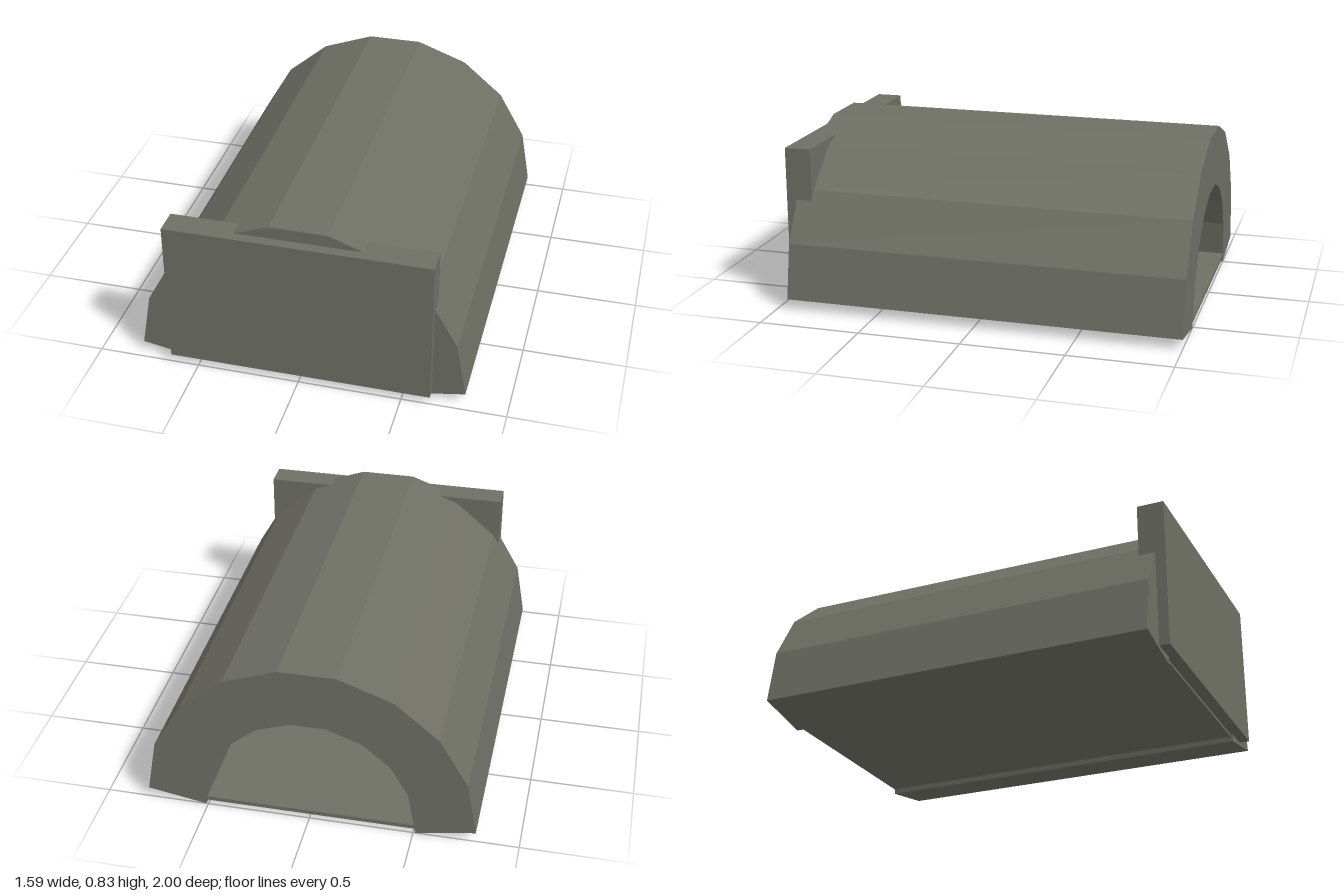
import * as THREE from 'three';

export function createModel() {
  const group = new THREE.Group();
  group.name = 'vaultedTunnel';
  const material = new THREE.MeshStandardMaterial({ color: 0x6e6f64, flatShading: true });

  function add(name, geometry, x, y, z) {
    const mesh = new THREE.Mesh(geometry, material);
    mesh.name = name;
    mesh.position.set(x, y, z);
    group.add(mesh);
  }

  // Vault: nine-sided half ring of constant thickness, ends cut square to the last sides
  const springY = 0.055, outerR = 0.795, innerR = 0.502;
  const point = (r, degrees) => {
    const a = THREE.MathUtils.degToRad(degrees);
    return new THREE.Vector2(r * Math.sin(a), springY + r * Math.cos(a));
  };
  const outer = [];
  for (let a = 90; a >= -90; a -= 20) outer.push(point(outerR, a));
  const inner = [new THREE.Vector2(-0.51, 0.005)];
  for (let a = -70; a <= 70; a += 20) inner.push(point(innerR, a));
  inner.push(new THREE.Vector2(0.51, 0.005));
  const vault = new THREE.ExtrudeGeometry(new THREE.Shape([...outer, ...inner]), {
    depth: 1.95, bevelEnabled: false,
  });
  add('vault', vault, 0, 0, -1);

  // Thin floor between the feet of the vault
  add('floor', new THREE.BoxGeometry(1.01, 0.02, 1.94), 0, 0.04, -0.03);

  // Thick panel closing the front end
  add('frontPanel', new THREE.BoxGeometry(1.274, 0.734, 0.13), 0, 0.41, 0.935);

  return group;
}
